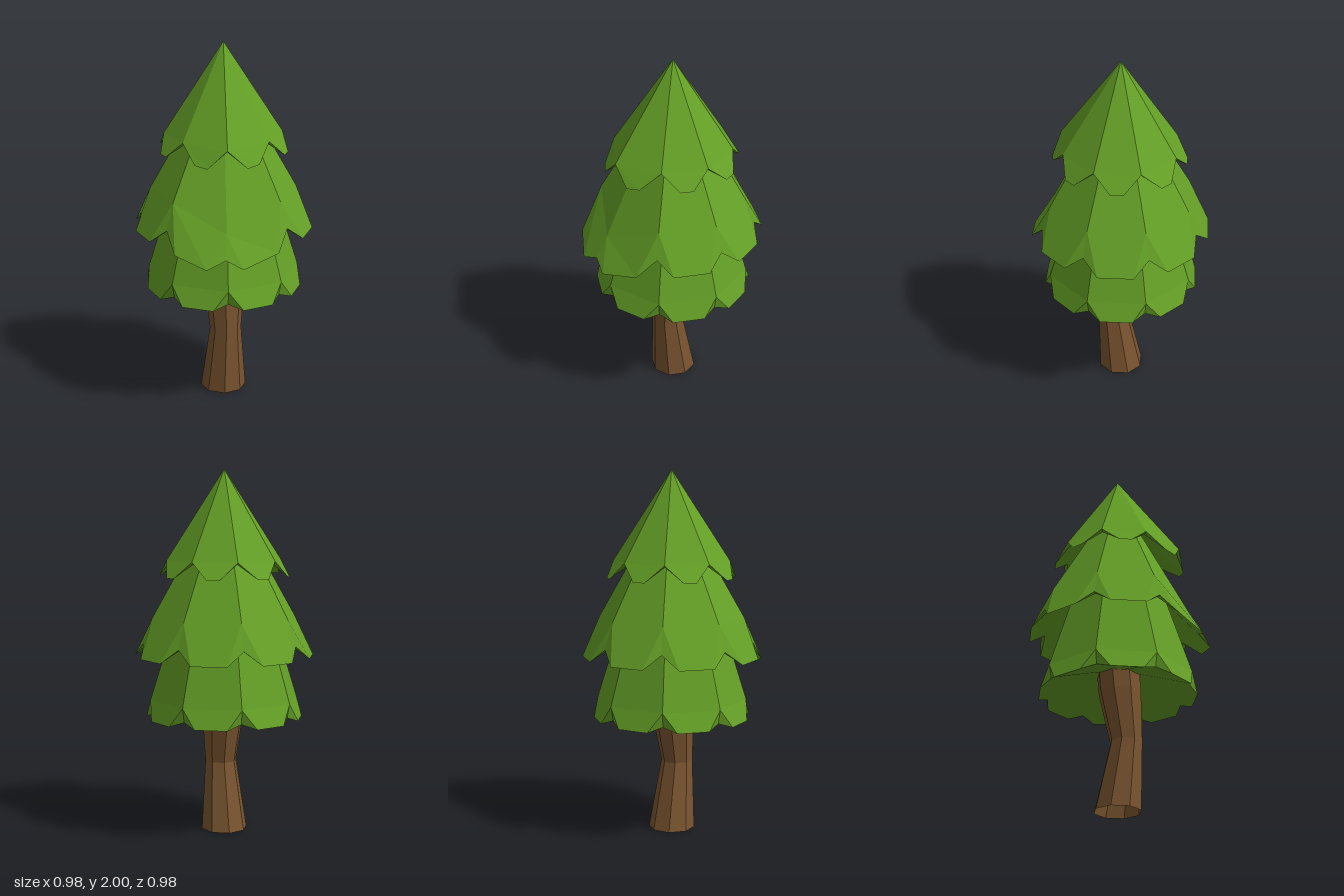
import * as THREE from 'three';

const SIDES = 8;
const STEP = 360 / SIDES;
const START = -7.5;          // angle of the first valley, degrees from +x towards +z
const DROOP_VALLEY = 3;      // the valley around which the branches hang lower

const leaf = new THREE.MeshStandardMaterial({ color: 0x649f26, flatShading: true });
const bark = new THREE.MeshStandardMaterial({
  color: 0x7a5530, flatShading: true, side: THREE.DoubleSide,
});

const polar = (deg, r, y, cx = 0, cz = 0) => {
  const a = THREE.MathUtils.degToRad(deg);
  return [cx + r * Math.cos(a), y, cz + r * Math.sin(a)];
};

// Flat-shaded mesh from convex polygons, each split into a fan
function polygonMesh(name, polygons, material) {
  const pos = [];
  for (const p of polygons)
    for (let i = 1; i < p.length - 1; i++) pos.push(...p[0], ...p[i], ...p[i + 1]);
  const geo = new THREE.BufferGeometry();
  geo.setAttribute('position', new THREE.Float32BufferAttribute(pos, 3));
  geo.computeVertexNormals();
  const mesh = new THREE.Mesh(geo, material);
  mesh.name = name;
  return mesh;
}

// One skirt of foliage: eight petals with two tips each and a notch between them.
// Each of top, shoulder, notch, tip and inner is [radius, height];
// the droops are [x, y, z] offsets at the hanging valley.
function foliageTier(name, t) {
  const none = [0, 0, 0];
  const ring = ([r, y], droop = none, turn = 0) => Array.from({ length: SIDES }, (_, k) => {
    // The petals' far tips follow the hanging valley by a third
    const far = turn !== 0 && (k + Math.sign(turn) + SIDES) % SIDES === DROOP_VALLEY;
    const w = k === DROOP_VALLEY ? 1 : far ? 0.33 : 0;
    return polar(START + k * STEP + turn, r, y).map((v, i) => v + w * droop[i]);
  });
  const top = ring(t.top);
  const notch = ring(t.notch, t.notchDroop);
  const shoulder = t.shoulder ? ring(t.shoulder, t.shoulderDroop) : notch;
  const inner = ring(t.inner, t.notchDroop);
  const after = ring(t.tip, t.tipDroop, t.spread);
  const before = ring(t.tip, t.tipDroop, -t.spread);
  const centre = [0, t.hollow, 0];

  const faces = [];
  for (let k = 0; k < SIDES; k++) {
    const n = (k + 1) % SIDES;
    // Upper slope and petal
    faces.push([top[k], top[n], shoulder[n], shoulder[k]]);
    faces.push([shoulder[n], before[n], after[k], shoulder[k]]);
    // Flare around the notch
    if (t.shoulder) {
      faces.push([shoulder[k], after[k], notch[k]]);
      faces.push([shoulder[k], notch[k], before[k]]);
    }
    // Undercut of the notch and hollow underside
    faces.push([notch[k], after[k], inner[k]], [notch[k], inner[k], before[k]]);
    faces.push([centre, inner[k], after[k], before[n], inner[n]]);
  }
  return polygonMesh(name, faces, leaf);
}

// Bent eight-sided open trunk, each section given as [x, y, z, radius]
function trunk() {
  const sections = [
    [0, 0, 0, 0.128],
    [-0.02, 0.38, 0.042, 0.088],
    [-0.004, 0.66, 0.012, 0.118],
    [0, 0.84, 0, 0.12],
  ];
  const rings = sections.map(([x, y, z, r]) =>
    Array.from({ length: SIDES }, (_, k) => polar(START + k * STEP, r, y, x, z)));
  const faces = [];
  for (let i = 0; i < rings.length - 1; i++)
    for (let k = 0; k < SIDES; k++) {
      const n = (k + 1) % SIDES;
      faces.push([rings[i + 1][k], rings[i + 1][n], rings[i][n], rings[i][k]]);
    }
  return polygonMesh('trunk', faces, bark);
}

export function createModel() {
  const tree = new THREE.Group();
  tree.name = 'tree';
  tree.add(
    trunk(),
    foliageTier('lowerFoliage', {
      top: [0.21, 1.4], notch: [0.415, 0.745], tip: [0.432, 0.64], inner: [0.4, 0.668],
      spread: 10.8, hollow: 0.8,
    }),
    foliageTier('middleFoliage', {
      top: [0, 1.9], shoulder: [0.4, 1.2], notch: [0.45, 1.06], tip: [0.492, 0.985],
      inner: [0.425, 1.06], spread: 11.25, hollow: 1.5,
      shoulderDroop: [-0.02, -0.13, 0.01], notchDroop: [-0.035, -0.11, 0.018],
      tipDroop: [-0.033, -0.08, 0.005],
    }),
    foliageTier('upperFoliage', {
      top: [0, 2], notch: [0.32, 1.51], tip: [0.357, 1.42], inner: [0.3, 1.5],
      spread: 17, hollow: 1.8,
      notchDroop: [-0.025, -0.01, 0.03], tipDroop: [-0.012, -0.015, 0.014],
    }),
  );
  return tree;
}
